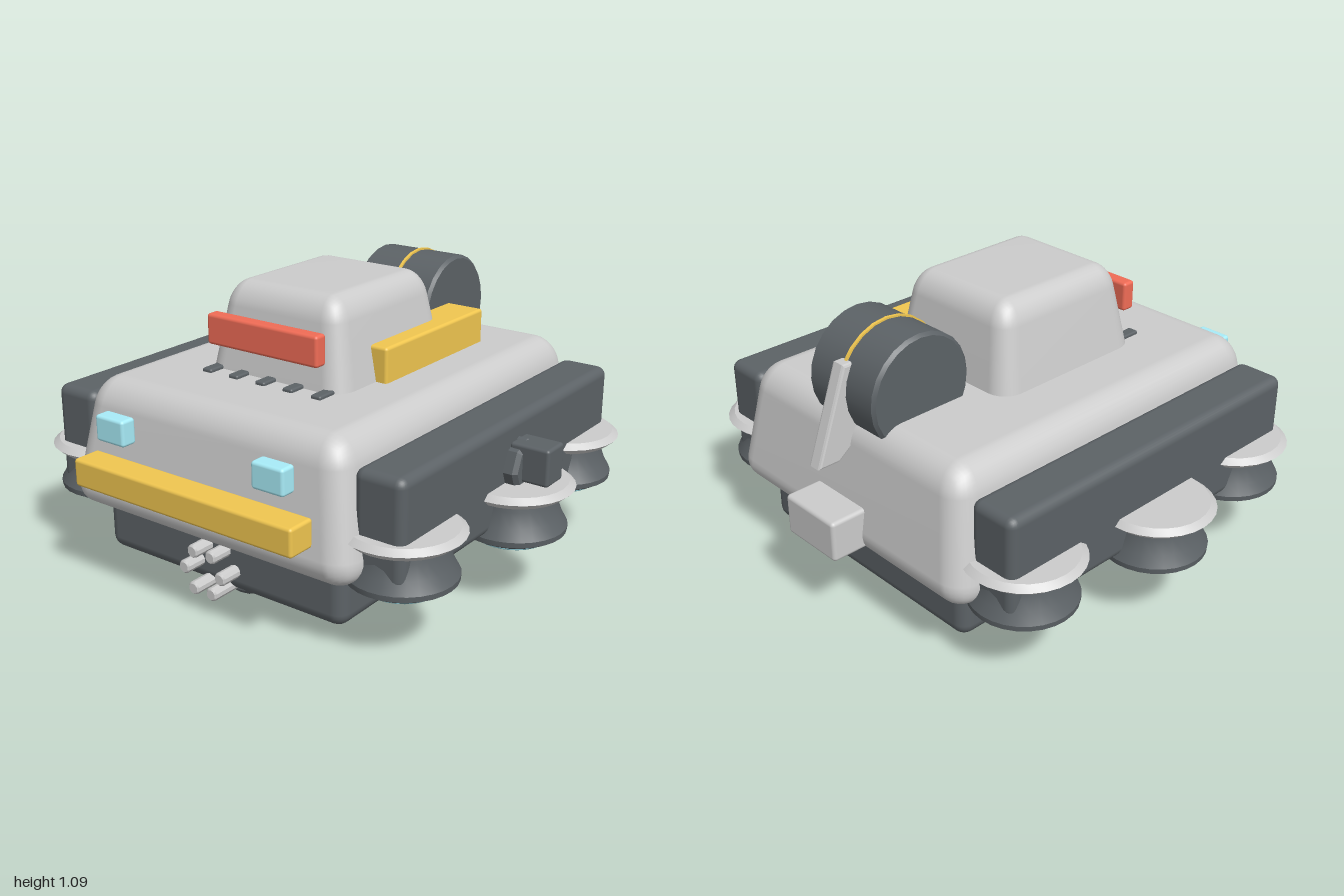
import * as THREE from 'three';
import { mergeVertices, toCreasedNormals } from 'three/addons/utils/BufferGeometryUtils.js';
import { RoundedBoxGeometry } from 'three/addons/geometries/RoundedBoxGeometry.js';

const mat = (color) => new THREE.MeshStandardMaterial({ color });
const GREY = mat(0xcccccc);
const DARK = mat(0x5c6266);
const YELLOW = mat(0xf0c650);
const RED = mat(0xf06c56);
const CYAN = mat(0xa8ecf8);

export function createModel() {
  const model = new THREE.Group();

  const add = (name, geometry, material, parent = model) => {
    const mesh = new THREE.Mesh(geometry, material);
    mesh.name = name;
    parent.add(mesh);
    return mesh;
  };

  // Rounded box given by its limits on each axis
  const block = (name, material, [x0, x1], [y0, y1], [z0, z1], r = 0.01) => {
    const mesh = add(name, new RoundedBoxGeometry(x1 - x0, y1 - y0, z1 - z0, 3, r), material);
    mesh.position.set((x0 + x1) / 2, (y0 + y1) / 2, (z0 + z1) / 2);
    return mesh;
  };

  // Rounded box that narrows towards its top by kx and kz
  const taperedBlock = (name, w, h, d, r, kx, kz) => {
    let g = new RoundedBoxGeometry(w, h, d, 4, r);
    g.deleteAttribute('normal');
    g.deleteAttribute('uv');
    g = mergeVertices(g, 1e-4);
    const p = g.attributes.position;
    for (let i = 0; i < p.count; i++) {
      const t = p.getY(i) / h + 0.5;
      p.setX(i, p.getX(i) * (1 - kx * t));
      p.setZ(i, p.getZ(i) * (1 - kz * t));
    }
    g.computeVertexNormals();
    return add(name, g, GREY);
  };

  // Turned solid from [radius, height] points, listed from bottom to top
  const turned = (points, sides = 24) => toCreasedNormals(
    new THREE.LatheGeometry(points.map(([r, y]) => new THREE.Vector2(r, y)), sides), 0.5);

  // Chamfered disc, its axis along y
  const drum = (r, length, c, sides = 24) => turned([
    [0, -length / 2], [r - c, -length / 2], [r, -length / 2 + c],
    [r, length / 2 - c], [r - c, length / 2], [0, length / 2],
  ], sides);

  // Hull and cabin
  taperedBlock('upperHull', 1.31, 0.495, 1.66, 0.1, 0.143, 0.1).position.set(0, 0.5175, 0.015);
  block('lowerHull', DARK, [-0.55, 0.55], [0.075, 0.34], [-0.705, 0.73], 0.05);
  taperedBlock('cabin', 0.675, 0.47, 0.74, 0.09, 0.265, 0.21).position.set(0, 0.855, 0.068);
  block('visor', RED, [-0.25, 0.25], [0.87, 0.985], [0.415, 0.47], 0.012);
  for (let i = -2; i <= 2; i++) {
    const x = i * 0.125;
    block('cabinVent', DARK, [x - 0.022, x + 0.022], [0.75, 0.778], [0.38, 0.48], 0.008);
  }
  block('sideLocker', YELLOW, [0.195, 0.355], [0.74, 0.897], [-0.455, 0.202], 0.012);

  // Bumper, headlights and rear hitch
  block('frontBumper', YELLOW, [-0.495, 0.495], [0.405, 0.51], [0.81, 0.925], 0.012);
  block('rearHitch', GREY, [-0.135, 0.135], [0.3, 0.46], [-0.925, -0.74], 0.015);

  // Side pods, lamps and hover pads on both sides
  const padBody = turned([[0, 0.25], [0.17, 0.25], [0.195, 0.265], [0.197, 0.285],
    [0.175, 0.325], [0.155, 0.38], [0.15, 0.43], [0, 0.43]], 28);
  const padRim = turned([[0, 0.41], [0.19, 0.41], [0.219, 0.435], [0.195, 0.455], [0, 0.455]], 28);
  const padGlow = turned([[0, 0.228], [0.135, 0.228], [0.145, 0.236], [0.145, 0.255], [0, 0.255]], 28);
  for (const s of [-1, 1]) {
    const span = (a, b) => (s > 0 ? [a, b] : [-b, -a]);
    block('headlight', CYAN, span(0.29, 0.425), [0.58, 0.678], [0.81, 0.875], 0.012);
    block('sidePod', DARK, span(0.59, 0.785), [0.29, 0.68], [-0.705, 0.73], 0.035);
    for (const [x, z] of [[0.68, 0.57], [0.78, 0.01], [0.68, -0.545]]) {
      const pad = new THREE.Group();
      pad.name = 'hoverPad';
      pad.position.set(s * x, 0, z);
      add('padBody', padBody, DARK, pad);
      add('padRim', padRim, GREY, pad);
      add('padGlow', padGlow, CYAN, pad);
      model.add(pad);
    }
  }

  // Cable drum with a thin band, held by a rear strut
  const reel = new THREE.Group();
  reel.name = 'reel';
  reel.position.set(0, 0.85, -0.54);
  reel.rotation.z = Math.PI / 2;
  add('reelDrum', drum(0.216, 0.355, 0.012), DARK, reel);
  add('reelBand', new THREE.CylinderGeometry(0.223, 0.223, 0.012, 24), YELLOW, reel);
  model.add(reel);

  const strutShape = new THREE.Shape([[0.715, 0.96], [0.75, 0.96], [0.875, 0.62], [0.8, 0.62], [0.72, 0.68]]
    .map(([z, y]) => new THREE.Vector2(z, y)));
  const strut = add('reelStrut', new THREE.ExtrudeGeometry(strutShape, {
    depth: 0.04, bevelThickness: 0.01, bevelSize: 0.01, bevelSegments: 2,
  }), GREY);
  strut.rotation.y = Math.PI / 2;
  strut.position.x = -0.02;

  // Fitting on the left side pod
  const collar = add('sideCollar', drum(0.105, 0.07, 0.015, 8), DARK);
  collar.rotation.z = Math.PI / 2;
  collar.position.set(0.8, 0.5, 0);
  block('sideArm', DARK, [0.78, 0.935], [0.46, 0.6], [-0.055, 0.058], 0.012);

  // Rod cluster along the belly with its clamp and housing
  const rodGeometry = drum(0.025, 0.92, 0.006, 10);
  for (let i = 0; i < 6; i++) {
    const a = (i * Math.PI) / 3;
    const rod = add('bellyRod', rodGeometry, GREY);
    rod.rotation.x = Math.PI / 2;
    rod.position.set(0.083 * Math.cos(a), 0.16 + 0.083 * Math.sin(a), 0.355);
  }
  const clamp = add('rodClamp', drum(0.16, 0.07, 0.02), DARK);
  clamp.rotation.x = Math.PI / 2;
  clamp.position.set(0, 0.16, 0.595);
  const housing = add('rodHousing', drum(0.142, 0.33, 0.02), DARK);
  housing.rotation.x = Math.PI / 2;
  housing.position.set(0, 0.16, -0.147);

  return model;
}
